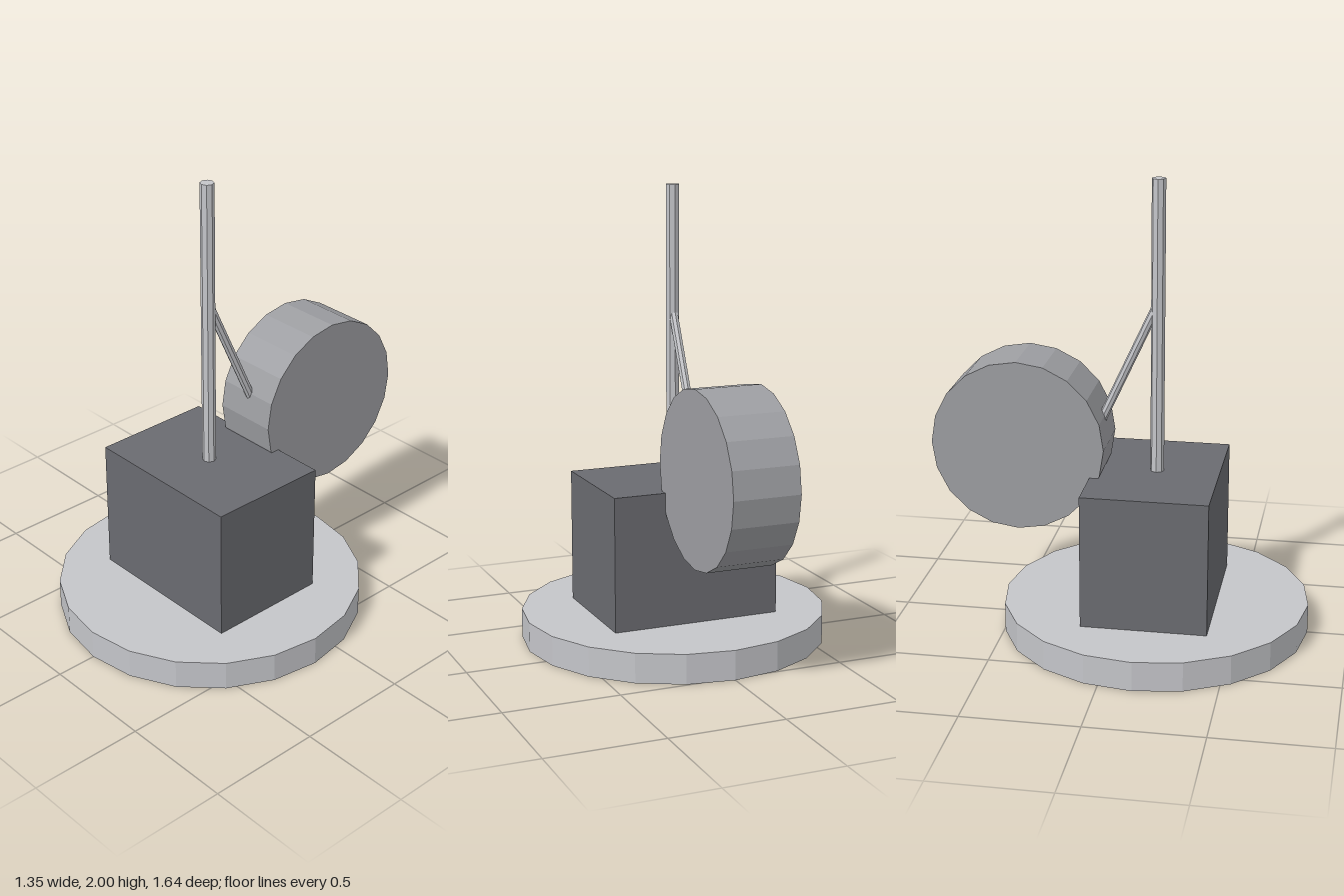
import * as THREE from 'three';

function material(name, color) {
  const m = new THREE.MeshStandardMaterial({ color, flatShading: true });
  m.name = name;
  return m;
}

export function createModel() {
  const light = material('light grey', 0xc4c5c9);
  const mid = material('mid grey', 0x9d9ea2);
  const dark = material('dark grey', 0x6a6b70);
  const model = new THREE.Group();
  const axisZ = 0.147; // shared centre of base, housing and mast

  function add(name, geometry, mat, x, y, z) {
    const mesh = new THREE.Mesh(geometry, mat);
    mesh.name = name;
    mesh.position.set(x, y, z);
    model.add(mesh);
    return mesh;
  }

  // round plinth and the box standing on it
  add('base', new THREE.CylinderGeometry(0.673, 0.673, 0.13, 20), light, 0, 0.065, axisZ);
  add('housing', new THREE.BoxGeometry(0.756, 0.59, 0.545), dark, 0, 0.425, axisZ);

  // upright mast
  add('mast', new THREE.CylinderGeometry(0.03, 0.03, 1.28, 8), light, 0, 1.36, axisZ);

  // drum on a sideways axis behind the housing
  const drum = add('drum', new THREE.CylinderGeometry(0.377, 0.377, 0.294, 20), mid, 0, 0.845, -0.44);
  drum.rotation.z = Math.PI / 2;

  // slanting strut from the mast into the drum
  const top = new THREE.Vector3(0, 1.46, 0.143);
  const bottom = new THREE.Vector3(0, 0.91, -0.11);
  const along = top.clone().sub(bottom);
  const strut = add('strut', new THREE.CylinderGeometry(0.02, 0.02, along.length(), 8), light, 0, 0, 0);
  strut.position.copy(top).add(bottom).multiplyScalar(0.5);
  strut.quaternion.setFromUnitVectors(new THREE.Vector3(0, 1, 0), along.normalize());

  return model;
}
